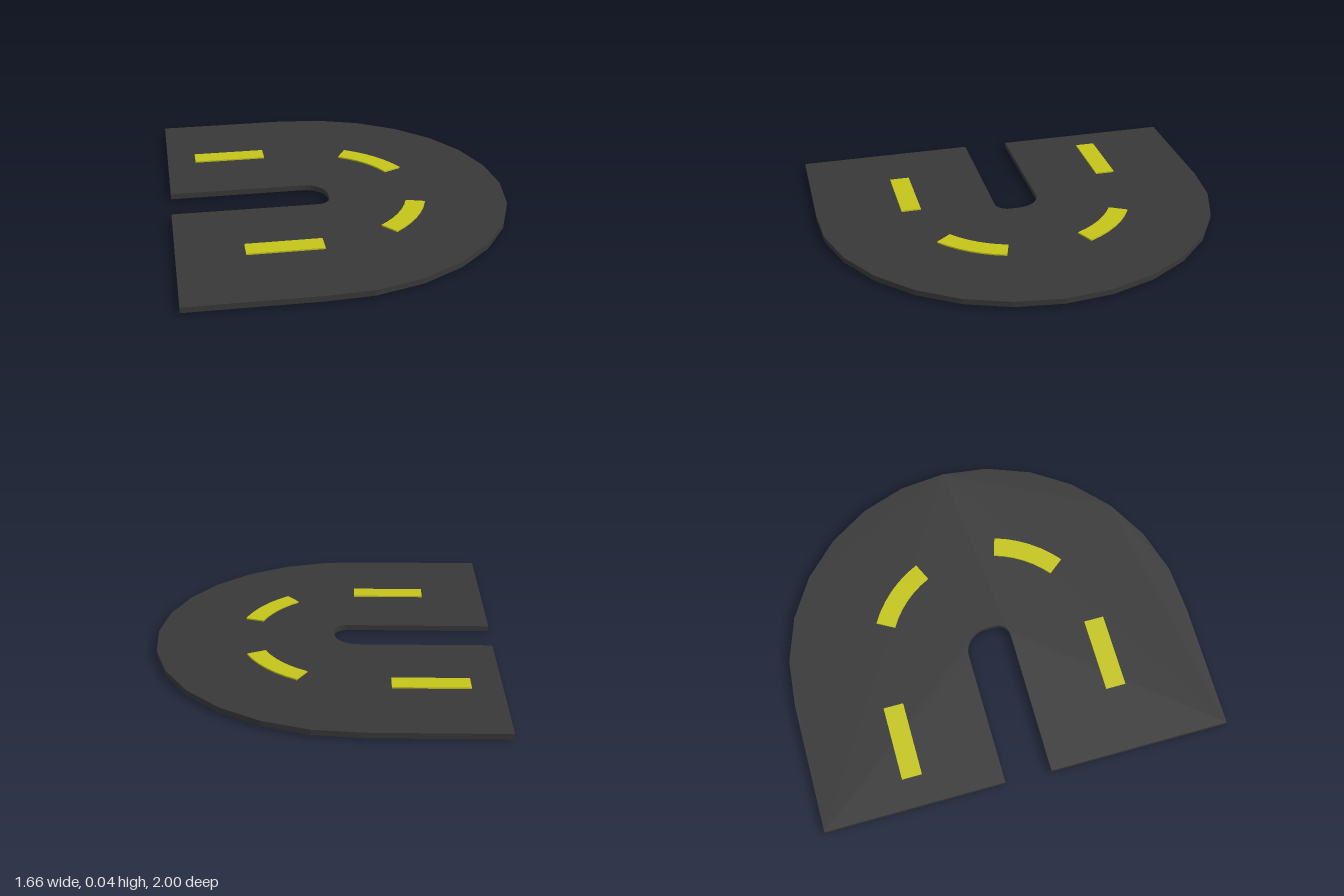
import * as THREE from 'three';

const CX = -0.17; // centre of the bend on x
const rad = THREE.MathUtils.degToRad;

// Points along an arc in the ground plane (x, z), angles in degrees from +x towards +z
function arc(cx, cz, r, from, to, segments) {
  return Array.from({ length: segments + 1 }, (_, i) => {
    const a = rad(from + ((to - from) * i) / segments);
    return new THREE.Vector2(cx + r * Math.cos(a), cz + r * Math.sin(a));
  });
}

// Flat slab from an outline in (x, z), between two heights
function slab(name, points, bottom, top, material) {
  const geometry = new THREE.ExtrudeGeometry(new THREE.Shape(points), {
    depth: top - bottom, bevelEnabled: false,
  });
  geometry.rotateX(Math.PI / 2).translate(0, top, 0);
  const mesh = new THREE.Mesh(geometry, material);
  mesh.name = name;
  return mesh;
}

export function createModel() {
  const group = new THREE.Group();
  group.name = 'roadBend';
  const asphalt = new THREE.MeshStandardMaterial({ color: 0x383838 });
  const paint = new THREE.MeshStandardMaterial({ color: 0xc4c41a });
  const p = (x, z) => new THREE.Vector2(x, z);

  // Road: faceted outer bend, then back around the narrow slot with uneven corners
  group.add(slab('road', [
    p(-0.827, -1),
    ...arc(CX, 0, 1, -91.1, 93, 14),
    p(-0.832, 0.995),
    p(-0.832, 0.11),
    ...arc(-0.118, 0.047, 0.065, 90, 0, 6),
    ...arc(CX, 0, 0.117, -4, -90, 8),
    p(-0.827, -0.117),
  ], 0.008, 0.035, asphalt));

  // Straight lane dashes, slightly thicker than the road
  for (const [name, x0, x1, z0, z1] of [
    ['backLaneDash', -0.683, -0.32, -0.588, -0.49],
    ['frontLaneDash', -0.515, -0.153, 0.484, 0.582],
  ]) {
    group.add(slab(name, [p(x0, z0), p(x1, z0), p(x1, z1), p(x0, z1)], 0, 0.042, paint));
  }

  // Curved lane dashes following the bend
  for (const [name, inner, outer, from, to] of [
    ['backCurvedDash', 0.494, 0.59, -61, -24.8],
    ['frontCurvedDash', 0.504, 0.599, 17, 51.8],
  ]) {
    group.add(slab(name, [
      ...arc(CX, 0, outer, from, to, 6),
      ...arc(CX, 0, inner, to, from, 6),
    ], 0, 0.042, paint));
  }

  return group;
}
